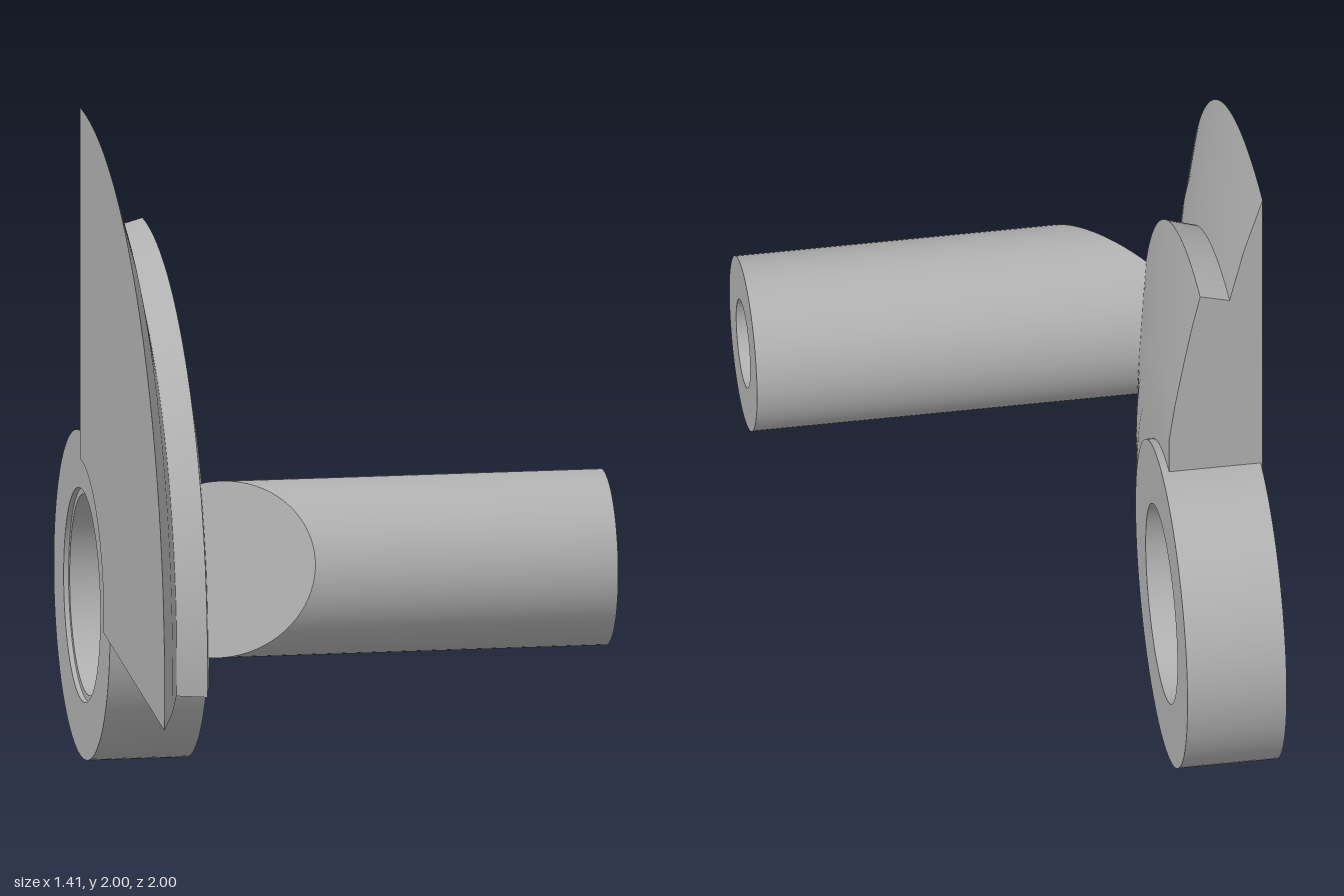
import * as THREE from 'three';
import { toCreasedNormals } from 'three/addons/utils/BufferGeometryUtils.js';

const HUB_Y = 0.5, HUB_Z = -0.5; // pivot axis, parallel to x

// Profile points are [radius, x], counter-clockwise; the axis ends up along x.
// Angles run from +z towards +y.
function turn(profile, segments, from = 0, to = Math.PI * 2) {
  const points = profile.map(([r, x]) => new THREE.Vector2(r, x));
  const geometry = new THREE.LatheGeometry(points, segments, -to, to - from);
  geometry.rotateZ(-Math.PI / 2);
  return geometry;
}

const crease = (geometry) => toCreasedNormals(geometry, 0.5);

export function createModel() {
  const model = new THREE.Group();
  model.name = 'crankLever';
  const steel = new THREE.MeshStandardMaterial({ color: 0xb0b0b0 });
  steel.name = 'grey steel';

  const add = (parent, name, geometry, y = 0, z = 0) => {
    const mesh = new THREE.Mesh(geometry, steel);
    mesh.name = name;
    mesh.position.set(0, y, z);
    parent.add(mesh);
    return mesh;
  };

  // Pivot ring with a shallow counterbore at the back
  const ring = [
    [0.325, -0.7], [0.5, -0.7], [0.5, -0.397], [0.305, -0.397],
    [0.305, -0.685], [0.325, -0.685], [0.325, -0.7],
  ];
  add(model, 'pivotRing', crease(turn(ring, 96)), HUB_Y, HUB_Z);

  // Stepped, domed sector
  const sector = new THREE.Group();
  sector.name = 'sector';
  sector.position.set(0, HUB_Y, HUB_Z);
  model.add(sector);
  const section = [
    [0.42, -0.706], [1.5, -0.706], [1.31, -0.648], [1.13, -0.605],
    [1.155, -0.515], [1.03, -0.488], [0.9, -0.464], [0.75, -0.438],
    [0.62, -0.42], [0.42, -0.42],
  ];
  const start = -0.085, end = Math.PI / 2;
  add(sector, 'sectorBody', crease(turn([...section, section[0]], 64, start, end)));

  // Flat cut faces at both ends of the sector
  const outline = new THREE.Shape(section.map(([r, x]) => new THREE.Vector2(r, x)));
  for (const angle of [start, end]) {
    const s = Math.sin(angle), c = Math.cos(angle);
    const face = new THREE.ShapeGeometry(outline);
    face.applyMatrix4(new THREE.Matrix4().makeBasis(
      new THREE.Vector3(0, s, c),
      new THREE.Vector3(1, 0, 0),
      new THREE.Vector3(0, c, -s),
    ));
    if (angle === start) face.index.array.reverse();
    face.computeVertexNormals();
    add(sector, angle === start ? 'lowerCutFace' : 'upperCutFace', face);
  }

  // Hollow pin; its root is cut by a slope facing away from the pivot
  const pinY = 0.785, pinZ = 0.605;
  const reach = Math.hypot(pinY - HUB_Y, pinZ - HUB_Z);
  const dirY = (pinY - HUB_Y) / reach, dirZ = (pinZ - HUB_Z) / reach;
  const pin = turn([
    [0, -0.52], [0.267, -0.52], [0.267, 0.706],
    [0.135, 0.706], [0.135, 0], [0, 0],
  ], 72);
  const pos = pin.attributes.position;
  for (let i = 0; i < pos.count; i++) {
    if (pos.getX(i) > -0.5) continue;
    const out = reach + pos.getY(i) * dirY + pos.getZ(i) * dirZ;
    pos.setX(i, Math.max(-0.7, -0.515 + (out - 1.095) * 0.94));
  }
  add(model, 'pin', crease(pin), pinY, pinZ);

  return model;
}
